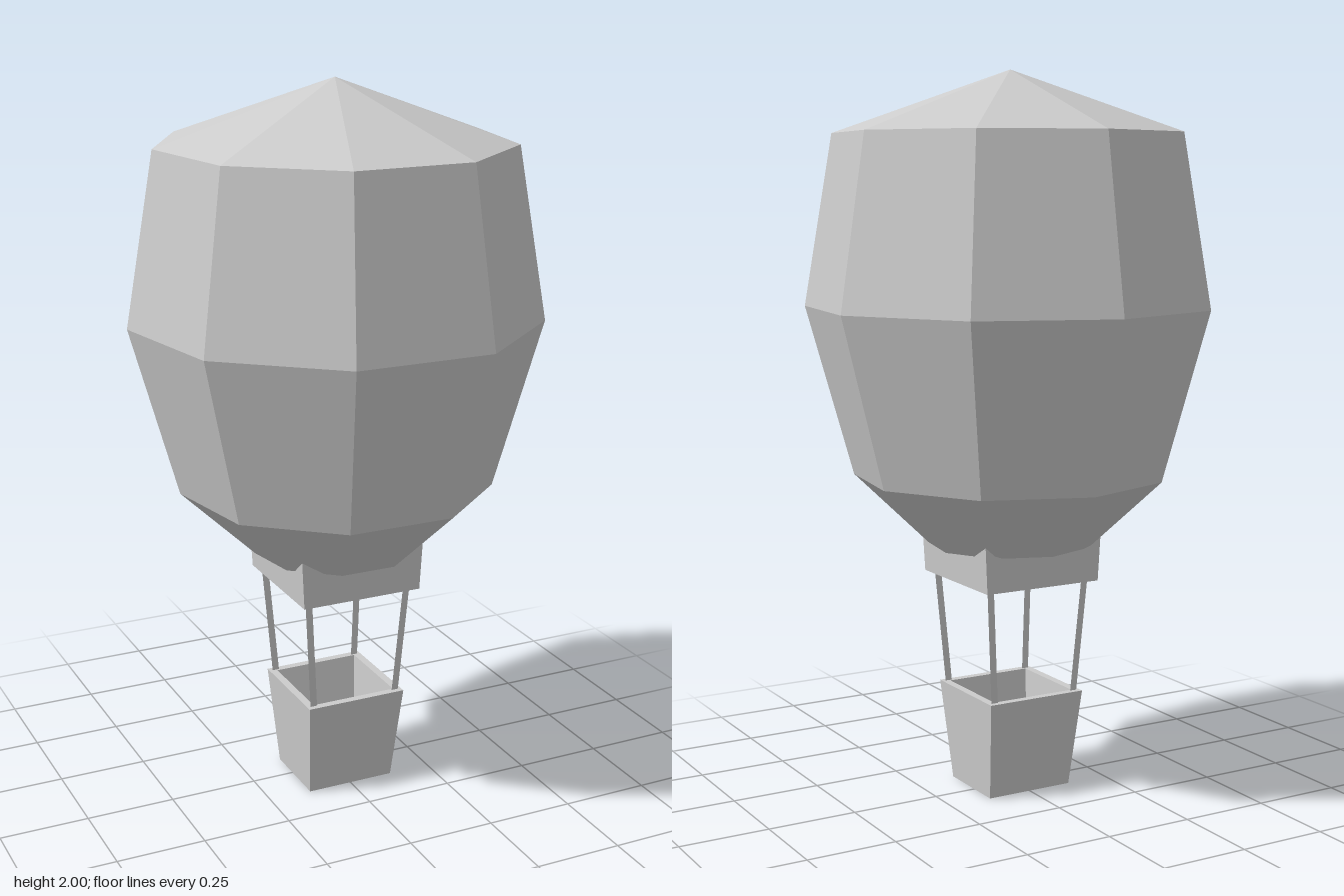
import * as THREE from 'three';

const CENTRE_Z = 0.017;

const grey = new THREE.MeshStandardMaterial({
  color: 0xcccccc, flatShading: true, side: THREE.DoubleSide,
});

function addPart(parent, name, geometry) {
  const mesh = new THREE.Mesh(geometry, grey);
  mesh.name = name;
  parent.add(mesh);
  return mesh;
}

// Joins rectangular rings [halfX, halfZ, y] in order; faces point outward for rising rings.
function rectLoft(rings) {
  const positions = [];
  const corner = ([hx, hz, y], i) => {
    const k = i % 4;
    return [k === 1 || k === 2 ? hx : -hx, y, k < 2 ? hz : -hz];
  };
  for (let r = 0; r < rings.length - 1; r++) {
    for (let i = 0; i < 4; i++) {
      const a = corner(rings[r], i), b = corner(rings[r], i + 1);
      const c = corner(rings[r + 1], i + 1), d = corner(rings[r + 1], i);
      positions.push(...a, ...b, ...c, ...a, ...c, ...d);
    }
  }
  const geometry = new THREE.BufferGeometry();
  geometry.setAttribute('position', new THREE.Float32BufferAttribute(positions, 3));
  geometry.computeVertexNormals();
  return geometry;
}

export function createModel() {
  const model = new THREE.Group();
  model.name = 'hotAirBalloon';
  const body = new THREE.Group();
  body.name = 'balloonBody';
  body.position.z = CENTRE_Z;
  model.add(body);

  // Nine-sided envelope, open at the mouth, with one corner at the back
  const profile = [[0.23, 0.695], [0.437, 0.89], [0.567, 1.36], [0.487, 1.83], [0, 2]]
    .map(([r, y]) => new THREE.Vector2(r, y));
  addPart(body, 'envelope', new THREE.LatheGeometry(profile, 9, Math.PI));

  // Square skirt around the mouth
  addPart(body, 'skirt', rectLoft([[0.176, 0.181, 0.6], [0.184, 0.184, 0.75]]));

  // Hollow tapered basket: underside, outer walls, rim, inner walls, floor
  addPart(body, 'basket', rectLoft([
    [0, 0, 0], [0.128, 0.108, 0], [0.147, 0.149, 0.28],
    [0.125, 0.127, 0.28], [0.108, 0.09, 0.03], [0, 0, 0.03],
  ]));

  // Four flat ropes from the basket corners to the skirt
  for (const sx of [-1, 1]) {
    for (const sz of [-1, 1]) {
      const rope = new THREE.PlaneGeometry(0.02, 1);
      const p = rope.attributes.position;
      for (let i = 0; i < p.count; i++) {
        const t = p.getY(i) + 0.5;
        p.setXYZ(i,
          p.getX(i) + sx * (0.126 + 0.028 * t),
          0.26 + 0.4 * t,
          sz * (0.132 + 0.024 * t));
      }
      rope.computeVertexNormals();
      addPart(body, `${sz > 0 ? 'front' : 'back'}${sx > 0 ? 'Left' : 'Right'}Rope`, rope);
    }
  }

  return model;
}
